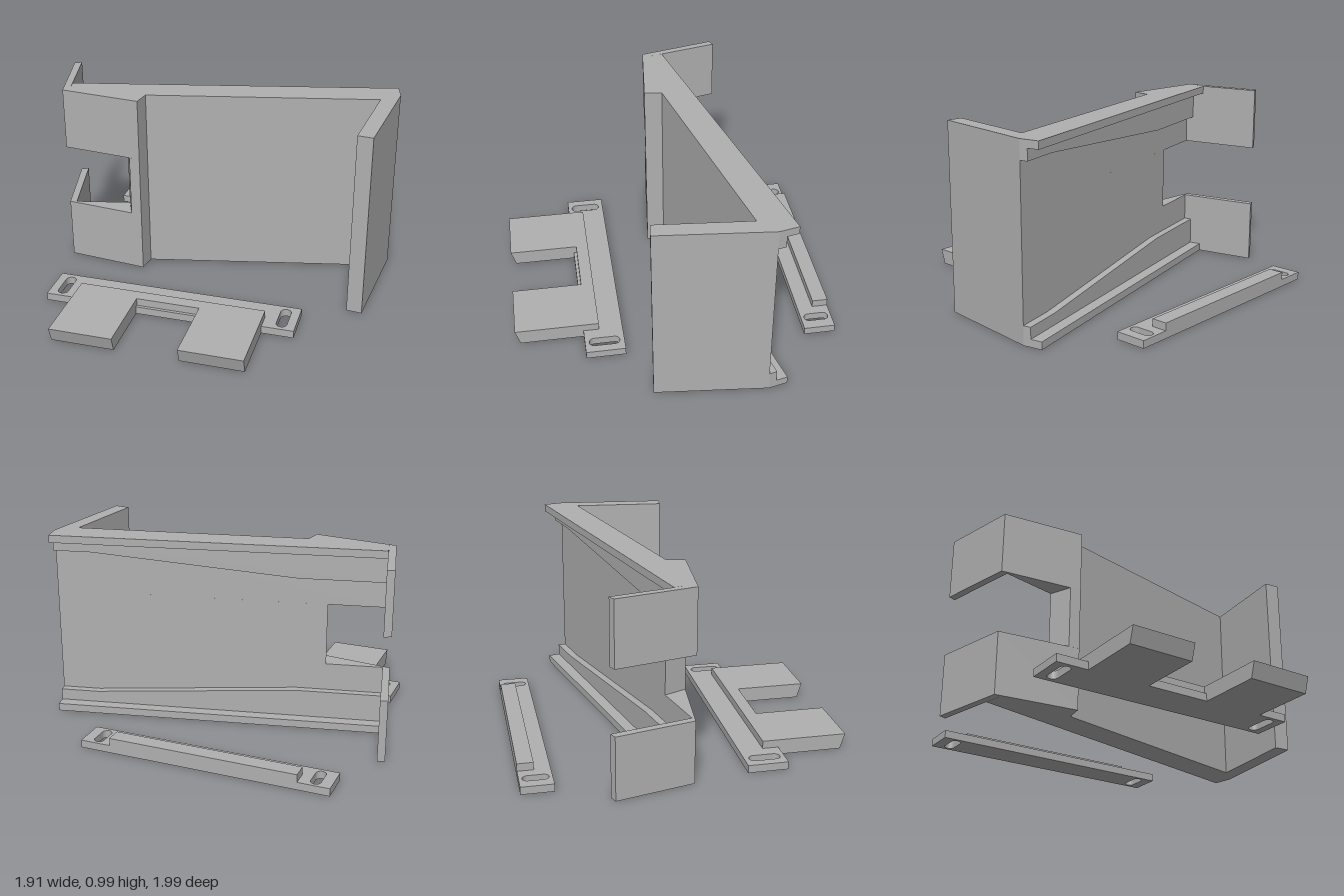
import * as THREE from 'three';

const HEIGHT = 0.99;

// Vertical prism from an [x, z] outline, with optional hole paths
function prism(outline, y0, y1, holes = []) {
  const shape = new THREE.Shape(outline.map(([x, z]) => new THREE.Vector2(x, -z)));
  shape.holes.push(...holes);
  const geo = new THREE.ExtrudeGeometry(shape, { depth: y1 - y0, bevelEnabled: false, curveSegments: 10 });
  geo.rotateX(-Math.PI / 2);
  geo.translate(0, y0, 0);
  return geo;
}

// Rounded slot running across a bar
function slot(x, length, width) {
  const r = width / 2, h = length / 2 - r;
  const path = new THREE.Path();
  path.absarc(x, h, r, 0, Math.PI, false);
  path.absarc(x, -h, r, Math.PI, Math.PI * 2, false);
  path.closePath();
  return path;
}

// Ledge on the slanted back of the panel, from an [x, y] outline
function ledge(outline, depth) {
  const shape = new THREE.Shape(outline.map(([x, y]) => new THREE.Vector2(x, y)));
  const geo = new THREE.ExtrudeGeometry(shape, { depth, bevelEnabled: false });
  const p = geo.attributes.position;
  for (let i = 0; i < p.count; i++) {
    const x = p.getX(i), out = depth - p.getZ(i);
    p.setXYZ(i, x + 0.2 * out, p.getY(i), 0.07 + 0.194 * (x - 0.93) - out);
  }
  geo.computeVertexNormals();
  return geo;
}

const rect = (x0, z0, x1, z1) => [[x0, z0], [x1, z0], [x1, z1], [x0, z1]];

export function createModel() {
  const model = new THREE.Group();
  const grey = new THREE.MeshStandardMaterial({ color: 0xb0b0b0 });
  grey.name = 'plain grey';

  const add = (parent, name, geo) => {
    const mesh = new THREE.Mesh(geo, grey);
    mesh.name = name;
    parent.add(mesh);
  };
  const group = (name, x = 0, z = 0, angle = 0) => {
    const g = new THREE.Group();
    g.name = name;
    g.position.set(x, 0, z);
    g.rotation.y = angle;
    model.add(g);
    return g;
  };

  // Upright panel with a flange at each end and a window through the left one
  const panel = group('panel');
  const front = [[0.93, 0.07], [0.645, 0.57], [0.575, 0.53], [0.81, 0.11], [-0.38, -0.13], [-0.43, -0.05]];
  const full = [[-0.73, -0.67], [-0.69, -0.67], [-0.769, -0.26], ...front, [-0.805, -0.265]];
  const cut = [[-0.48, -0.204], ...front, [-0.48, -0.078]];
  add(panel, 'lowerPanel', prism(full, 0, 0.33));
  add(panel, 'middlePanel', prism(cut, 0.33, 0.66));
  add(panel, 'upperPanel', prism(full, 0.66, HEIGHT));

  // Lips and tapered rails along the top and bottom of the back
  const x0 = -0.769, x1 = 0.93;
  const lip = [[x0, 0], [x1, 0], [x1, 0.04], [x0, 0.04]];
  const rail = [[x0, 0.04], [x1, 0.04], [x1, 0.1], [0.73, 0.1], [-0.33, 0.185], [x0, 0.185]];
  const flip = (pts) => pts.map(([x, y]) => [x, HEIGHT - y]);
  add(panel, 'lowerLip', ledge(lip, 0.1));
  add(panel, 'lowerRail', ledge(rail, 0.04));
  add(panel, 'upperLip', ledge(flip(lip), 0.1));
  add(panel, 'upperRail', ledge(flip(rail), 0.04));

  // Narrow slotted bar lying behind the panel
  const tilt = -0.415;
  const bar = group('slottedBar', 0.149, -0.661, tilt);
  add(bar, 'barBase', prism(rect(-0.657, -0.082, 0.657, 0.082), 0, 0.04,
    [slot(-0.575, 0.13, 0.052), slot(0.575, 0.13, 0.052)]));
  add(bar, 'barRidge', prism(rect(-0.495, -0.082, 0.495, 0), 0.04, 0.08));

  // Slotted bracket with two prongs lying in front of the panel
  const bracket = group('prongBracket', -0.31, 0.375, tilt);
  add(bracket, 'bracketBase', prism(rect(-0.66, -0.104, 0.66, 0.102), 0, 0.04,
    [slot(-0.588, 0.16, 0.055), slot(0.588, 0.16, 0.055)]));
  const prongs = prism([[-0.495, 0.02], [0.495, 0.02], [0.495, 0.458], [0.167, 0.458],
    [0.167, 0.086], [-0.167, 0.086], [-0.167, 0.458], [-0.495, 0.458]], 0, 0.08);
  // Undercut the prong tips
  const p = prongs.attributes.position;
  for (let i = 0; i < p.count; i++) {
    if (p.getZ(i) > 0.4 && p.getY(i) < 0.01) p.setZ(i, p.getZ(i) - 0.025);
  }
  prongs.computeVertexNormals();
  add(bracket, 'prongs', prongs);

  return model;
}
